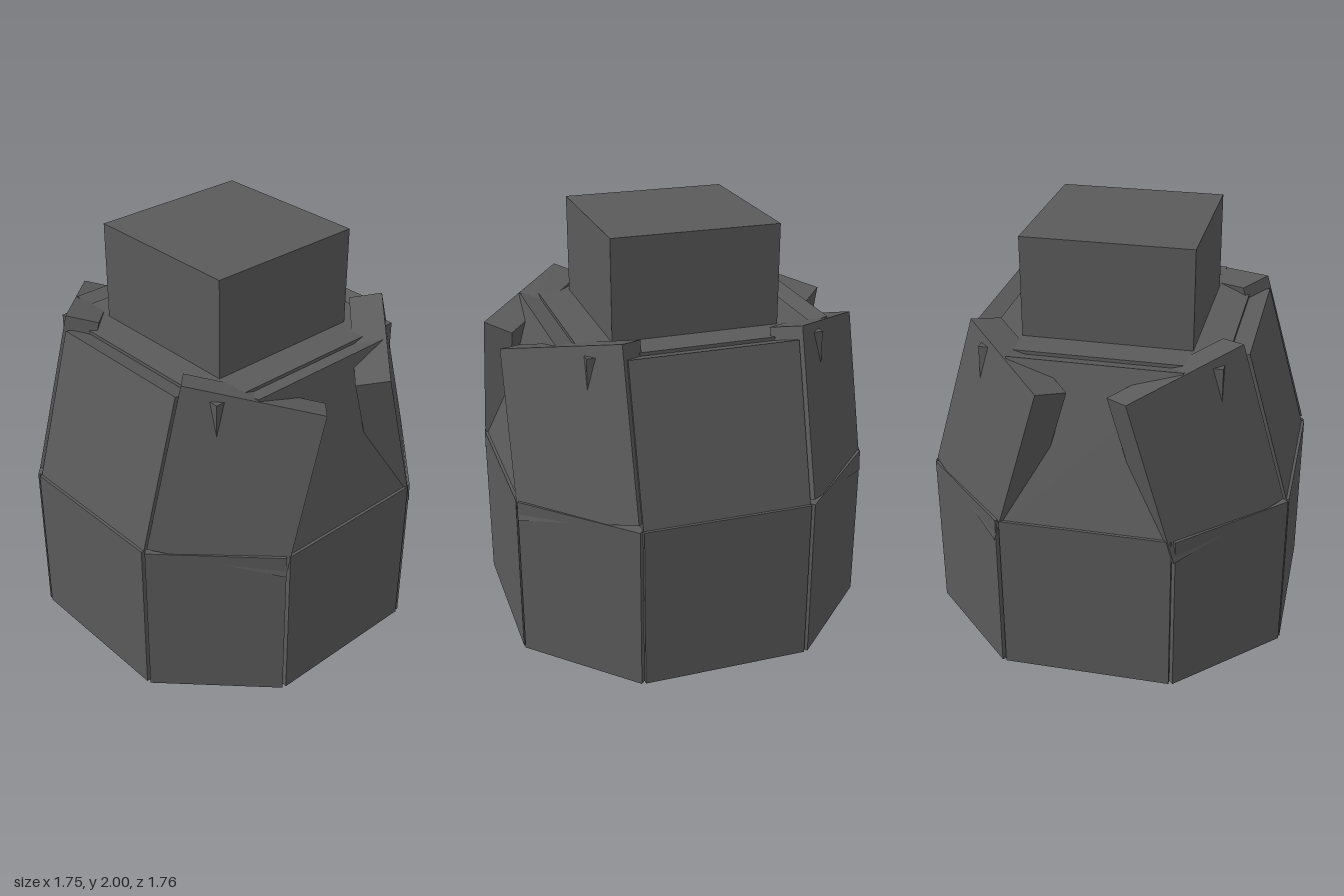
import * as THREE from 'three';

export function createModel() {
  const model = new THREE.Group();
  const darkGrey = new THREE.MeshStandardMaterial({ color: 0x5a5a5a });
  darkGrey.name = 'darkGrey';

  const T = 0.16; // panel thickness
  const rad = THREE.MathUtils.degToRad;

  function box(name, w, h, d, x, y, z, parent = model) {
    const mesh = new THREE.Mesh(new THREE.BoxGeometry(w, h, d), darkGrey);
    mesh.name = name;
    mesh.position.set(x, y, z);
    parent.add(mesh);
    return mesh;
  }

  // Four straight sides: upright skirt panel and inward-leaning shoulder panel
  const lean = rad(15.75);
  for (let i = 0; i < 4; i++) {
    const side = new THREE.Group();
    side.name = 'side' + (i + 1);
    side.rotation.y = i * Math.PI / 2;
    model.add(side);
    box('skirtPanel', 0.8, 0.8, T, 0, 0.4, 0.875 - T / 2, side);
    // placed from the outer top edge of the panel
    const s = Math.sin(lean), c = Math.cos(lean);
    const shoulder = box('shoulderPanel', 0.8, 0.8, T, 0,
      1.53 - 0.4 * c - T / 2 * s, 0.655 + 0.4 * s - T / 2 * c, side);
    shoulder.rotation.x = -lean;
  }

  // Four corners: upright skirt panel and skewed shoulder panel
  const tilt = rad(16);
  for (const sx of [1, -1]) {
    for (const sz of [1, -1]) {
      const yaw = Math.atan2(sx, sz);
      const inset = 0.645 - T / 2 * Math.SQRT1_2;
      const skirt = box('cornerSkirtPanel', 0.64, 0.8, T, sx * inset, 0.4, sz * inset);
      skirt.rotation.y = yaw;

      // turned to the corner, then leaned sideways
      const odd = sx < 0 && sz < 0 ? 0.01 : 0;
      const y = sx > 0 && sz > 0 ? 1.138 : 1.127;
      const shoulder = box('cornerShoulderPanel', 0.64, 0.8, T,
        sx * 0.478 + odd, y, sz * 0.59 - odd);
      shoulder.rotation.set(0, yaw, sx * tilt, 'ZYX');
    }
  }

  // Cover plate and the block standing on it
  box('coverPlate', 1.12, T, 1.12, 0, 1.44, 0);
  box('topBlock', 0.8, 0.48, 0.8, 0, 1.76, 0);

  return model;
}
